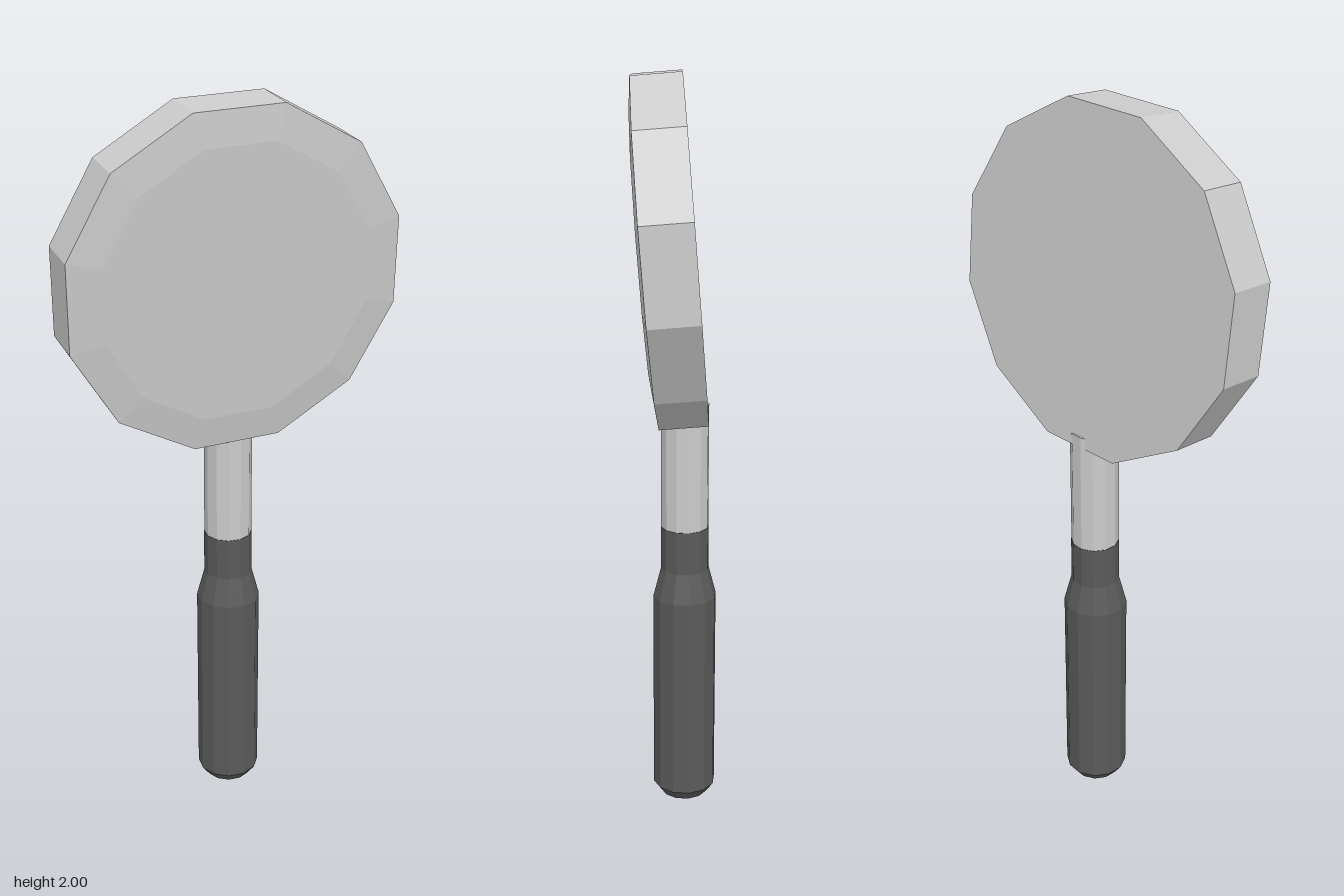
import * as THREE from 'three';

const SIDES = 12;

// Faceted turned part from [radius, height] pairs, listed bottom to top
function turned(name, profile, color, phiStart = 0) {
  const points = profile.map(([r, y]) => new THREE.Vector2(r, y));
  const mesh = new THREE.Mesh(
    new THREE.LatheGeometry(points, SIDES, phiStart),
    new THREE.MeshStandardMaterial({ color, flatShading: true })
  );
  mesh.name = name;
  return mesh;
}

export function createModel() {
  const model = new THREE.Group();
  model.name = 'handMirror';

  // Handle: dark grip with chamfered foot, pale neck running into the rim
  const handle = new THREE.Group();
  handle.name = 'handle';
  handle.add(
    turned('grip', [[0, 0], [0.065, 0], [0.087, 0.03], [0.087, 0.6], [0.066, 0.68], [0.066, 0.8], [0, 0.8]], 0x5a5a5a),
    turned('neck', [[0.065, 0.79], [0.065, 1.14], [0, 1.14]], 0xcccccc)
  );
  handle.position.set(-0.034, 0, -0.024);
  handle.rotation.y = THREE.MathUtils.degToRad(-5);
  model.add(handle);

  // Head: thick disc, flat behind, with a shallow bevel on its face
  const head = turned(
    'head',
    [[0, -0.065], [0.46, -0.065], [0.46, 0.065], [0.37, 0.075], [0, 0.075]],
    0xcccccc,
    THREE.MathUtils.degToRad(16.5)
  );
  // Turn the disc's axis to the side, slightly forward and down
  const axis = new THREE.Vector3(0.967, -0.078, 0.25).normalize();
  const across = new THREE.Vector3(-axis.z, 0, axis.x).normalize();
  const up = new THREE.Vector3().crossVectors(across, axis);
  head.quaternion.setFromRotationMatrix(new THREE.Matrix4().makeBasis(across, axis, up));
  head.position.set(0, 1.547, 0);
  model.add(head);

  return model;
}
